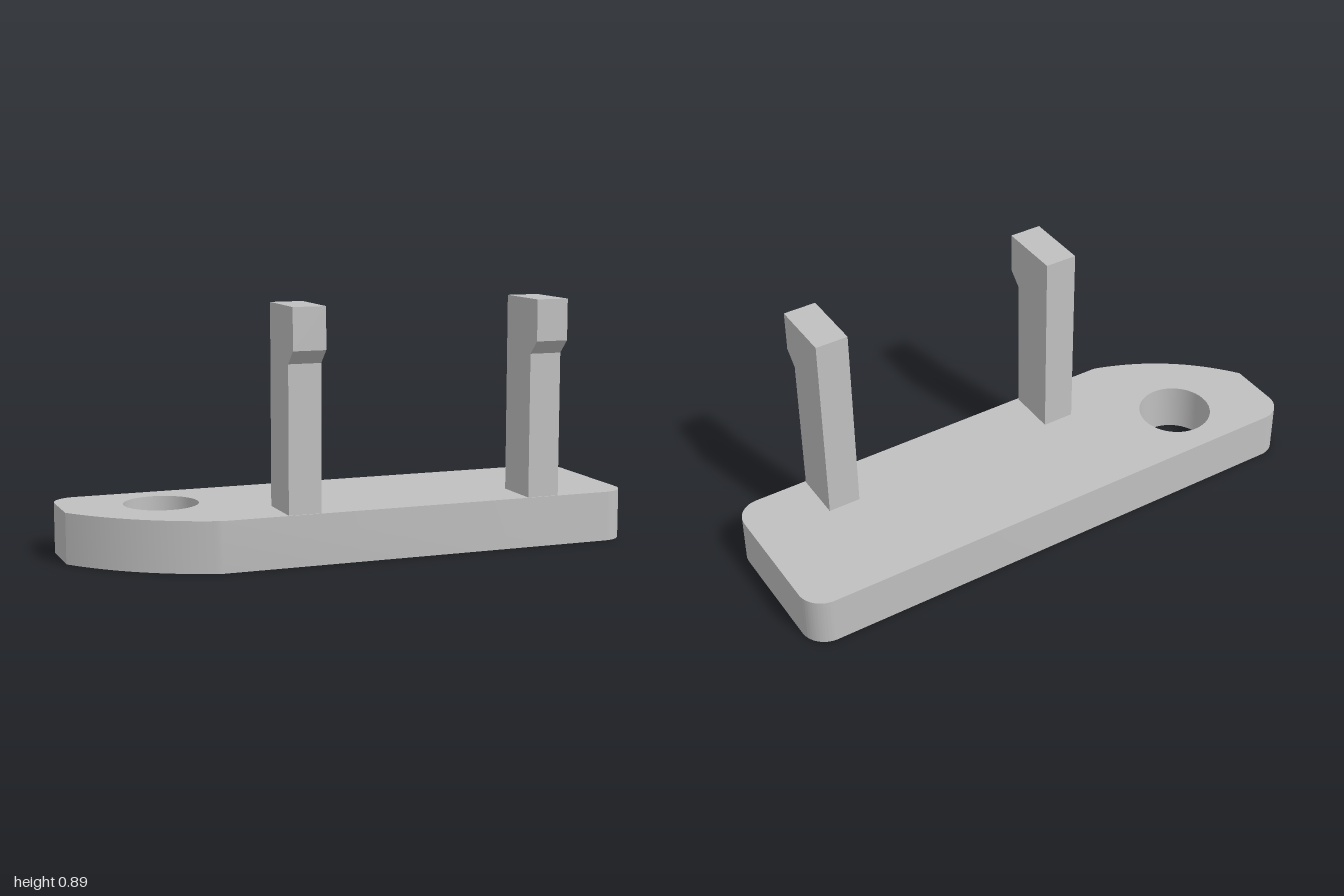
import * as THREE from 'three';
import { toCreasedNormals } from 'three/addons/utils/BufferGeometryUtils.js';

const BASE_H = 0.18, BACK = 0.32, FRONT = -0.277, R = 0.09;

// Plate outline in plan (shape y is -z): three rounded corners and one swept nose
function basePlate(material) {
  const s = new THREE.Shape();
  s.moveTo(-0.54, FRONT);
  s.lineTo(1 - R, FRONT);
  s.absarc(1 - R, FRONT + R, R, -Math.PI / 2, 0, false);
  s.lineTo(1, BACK - R);
  s.absarc(1 - R, BACK - R, R, 0, Math.PI / 2, false);
  s.lineTo(-1 + R, BACK);
  s.absarc(-1 + R, BACK - R, R, Math.PI / 2, Math.PI, false);
  s.lineTo(-1, 0.05);
  s.quadraticCurveTo(-0.825, -0.19, -0.54, FRONT);

  const hole = new THREE.Path();
  hole.absarc(-0.65, 0.1, 0.133, 0, Math.PI * 2, true);
  s.holes.push(hole);

  const geo = new THREE.ExtrudeGeometry(s, { depth: BASE_H, bevelEnabled: false, curveSegments: 24 });
  geo.rotateX(-Math.PI / 2);
  const mesh = new THREE.Mesh(toCreasedNormals(geo, 0.4), material);
  mesh.name = 'basePlate';
  return mesh;
}

// Upright clip with a forward hook; side profile drawn as (-z, y)
function hookPost(name, x, material) {
  const profile = new THREE.Shape([
    [-0.272, BASE_H], [-0.087, BASE_H], [-0.087, 0.89],
    [-0.32, 0.89], [-0.32, 0.743], [-0.272, 0.695],
  ].map(([u, v]) => new THREE.Vector2(u, v)));
  const width = 0.118;
  const geo = new THREE.ExtrudeGeometry(profile, { depth: width, bevelEnabled: false });
  geo.translate(0, 0, -width / 2);
  geo.rotateY(Math.PI / 2);
  const mesh = new THREE.Mesh(geo, material);
  mesh.name = name;
  mesh.position.x = x;
  return mesh;
}

export function createModel() {
  const grey = new THREE.MeshStandardMaterial({ color: 0xc0c0c0 });
  grey.name = 'light grey';
  const group = new THREE.Group();
  group.name = 'clipBracket';
  group.add(
    basePlate(grey),
    hookPost('rightHookPost', -0.246, grey),
    hookPost('leftHookPost', 0.658, grey),
  );
  return group;
}
